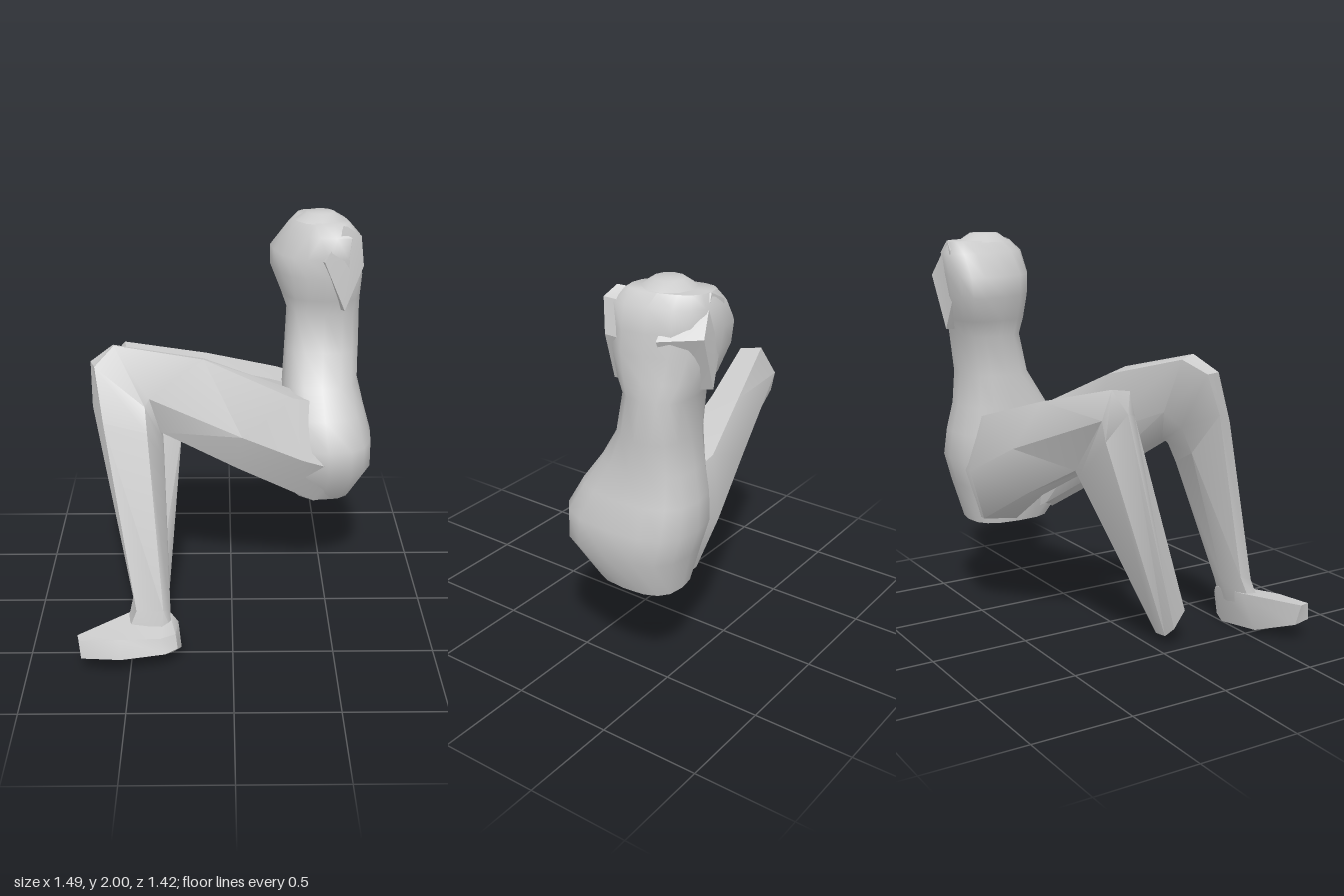
import * as THREE from 'three';
import { toCreasedNormals } from 'three/addons/utils/BufferGeometryUtils.js';

const material = new THREE.MeshStandardMaterial({ color: 0xcccccc });

// Skin a list of equally sized point rings, close both ends, face outwards
function loft(name, rings, crease = 0.85) {
  const n = rings[0].length;
  const points = rings.flat();
  const centre = ring => [0, 1, 2].map(k => ring.reduce((s, p) => s + p[k], 0) / n);
  points.push(centre(rings[0]), centre(rings[rings.length - 1]));
  const first = points.length - 2, last = points.length - 1;
  const index = [];
  for (let i = 0; i < n; i++) {
    const j = (i + 1) % n;
    for (let r = 0; r < rings.length - 1; r++) {
      const a = r * n + i, b = r * n + j;
      index.push(a, b, b + n, a, b + n, a + n);
    }
    const end = (rings.length - 1) * n;
    index.push(first, j, i, last, end + i, end + j);
  }
  // Signed volume tells whether the winding must be reversed
  const v = points.map(p => new THREE.Vector3(...p).sub(new THREE.Vector3(...points[first])));
  let volume = 0;
  for (let t = 0; t < index.length; t += 3) {
    volume += v[index[t]].dot(v[index[t + 1]].clone().cross(v[index[t + 2]]));
  }
  if (volume < 0) index.reverse();
  const geometry = new THREE.BufferGeometry();
  geometry.setAttribute('position', new THREE.Float32BufferAttribute(points.flat(), 3));
  geometry.setIndex(index);
  const mesh = new THREE.Mesh(toCreasedNormals(geometry, crease), material);
  mesh.name = name;
  return mesh;
}

// Horizontal rounded-square ring from its extents; skew slides it in x along z
function bodyRing([y, x0, x1, z0, z1, skew = 0]) {
  const ring = [], n = 16;
  const soft = t => Math.sign(t) * Math.abs(t) ** 0.75;
  for (let i = 0; i < n; i++) {
    const a = (i / n) * Math.PI * 2;
    const dz = soft(Math.sin(a)) * (z1 - z0) / 2;
    const dx = soft(Math.cos(a)) * ((x1 - x0) / 2 - Math.abs(skew) * 0.08);
    ring.push([(x0 + x1) / 2 + dx + skew * dz, y, (z0 + z1) / 2 + dz]);
  }
  return ring;
}

export function createModel() {
  const model = new THREE.Group();
  model.name = 'seatedFigure';

  // Pelvis, waist, chest and shoulders
  model.add(loft('torso', [
    [0.525, 0.32, 0.65, -0.57, -0.14],
    [0.72, 0.26, 0.74, -0.62, 0.01],
    [0.86, 0.25, 0.74, -0.66, 0.015],
    [1.0, 0.26, 0.70, -0.65, -0.06],
    [1.14, 0.27, 0.665, -0.62, -0.16],
    [1.3, 0.28, 0.67, -0.60, -0.26],
    [1.5, 0.29, 0.67, -0.62, -0.30],
    [1.58, 0.25, 0.67, -0.65, -0.27, 0.15],
    [1.7, 0.20, 0.675, -0.68, -0.25, 0.25],
    [1.8, 0.20, 0.665, -0.69, -0.245, 0.25],
    [1.91, 0.29, 0.65, -0.69, -0.25, 0.25],
    [1.965, 0.34, 0.60, -0.66, -0.31, 0.25],
  ].map(bodyRing), 0.9));

  // Low neck stub
  const neck = new THREE.Mesh(toCreasedNormals(new THREE.CylinderGeometry(0.07, 0.13, 0.04, 10), 0.7), material);
  neck.name = 'neckStub';
  neck.position.set(0.455, 1.98, -0.46);
  model.add(neck);

  // Cut shoulder ends: outline on the cut, widening into the chest
  const armCut = [[0, 0.2, -0.03], [0.07, 0.16, -0.01], [0.09, 0, -0.03], [0, -0.23, -0.01], [-0.11, 0.03, 0.01]];
  for (const [name, x, z, side] of [['leftArmStub', 0.575, -0.245, 1], ['rightArmStub', 0.44, -0.695, -1]]) {
    const outer = armCut.map(([dx, dy, dz]) => [x + side * dx, 1.765 + dy, z + side * dz]);
    const inner = outer.map(p => [x + (p[0] - x) * 1.3 - side * 0.06, p[1] - 0.02, z - side * 0.17]);
    model.add(loft(name, [inner, outer], 0.5));
  }

  // Each leg ring: top outer, outer, bottom outer, bottom inner, inner, top inner
  // Raised leg: hip, upper thigh, mid thigh, two knee rings, shin, ankle, instep
  model.add(loft('frontLeg', [
    [[0.5, 1.05, -0.2], [0.58, 0.74, -0.03], [0.6, 0.53, -0.17], [0.36, 0.56, -0.28], [0.3, 0.85, -0.32], [0.34, 1.1, -0.26]],
    [[0.31, 1.13, -0.08], [0.36, 0.84, 0.05], [0.43, 0.54, -0.1], [0.28, 0.61, -0.22], [0.22, 0.88, -0.27], [0.25, 1.16, -0.19]],
    [[-0.14, 1.37, 0.0], [0.05, 1.0, 0.12], [0.03, 0.8, 0.05], [0.0, 0.82, -0.05], [-0.05, 1.02, -0.14], [-0.14, 1.34, -0.1]],
    [[-0.57, 1.48, 0.1], [-0.4, 1.25, 0.22], [-0.35, 1.05, 0.16], [-0.35, 1.04, 0.08], [-0.48, 1.2, 0.0], [-0.58, 1.46, 0.03]],
    [[-0.66, 1.4, 0.18], [-0.42, 1.22, 0.25], [-0.34, 1.02, 0.18], [-0.34, 1.01, 0.12], [-0.54, 1.13, 0.06], [-0.685, 1.4, 0.1]],
    [[-0.62, 1.15, 0.28], [-0.41, 1.1, 0.29], [-0.335, 0.92, 0.22], [-0.335, 0.91, 0.17], [-0.54, 1.0, 0.12], [-0.675, 1.2, 0.18]],
    [[-0.47, 0.27, 0.55], [-0.34, 0.26, 0.54], [-0.31, 0.25, 0.5], [-0.31, 0.25, 0.44], [-0.4, 0.27, 0.42], [-0.49, 0.3, 0.47]],
    [[-0.51, 0.17, 0.57], [-0.35, 0.15, 0.57], [-0.3, 0.14, 0.52], [-0.31, 0.15, 0.47], [-0.4, 0.15, 0.46], [-0.52, 0.17, 0.51]],
  ]));

  // Tilted foot from toe to heel: top front, bottom front, bottom back, top back
  model.add(loft('foot', [
    [[-0.74, 0.2, 0.7], [-0.73, 0.11, 0.715], [-0.72, 0.09, 0.64], [-0.75, 0.2, 0.65]],
    [[-0.54, 0.19, 0.68], [-0.54, 0.1, 0.715], [-0.54, 0.025, 0.53], [-0.5, 0.22, 0.47]],
    [[-0.35, 0.17, 0.64], [-0.33, 0.1, 0.67], [-0.3, 0, 0.5], [-0.32, 0.21, 0.44]],
    [[-0.28, 0.17, 0.6], [-0.27, 0.1, 0.62], [-0.255, 0.03, 0.5], [-0.27, 0.16, 0.47]],
  ], 0.7));

  // Lower leg without a foot: hip, upper thigh, mid thigh, two knee rings, cut shin
  model.add(loft('backLeg', [
    [[0.46, 1.06, -0.55], [0.52, 0.8, -0.61], [0.5, 0.55, -0.54], [0.32, 0.56, -0.42], [0.3, 0.8, -0.34], [0.32, 1.1, -0.36]],
    [[0.25, 1.12, -0.57], [0.3, 0.83, -0.64], [0.34, 0.56, -0.55], [0.23, 0.57, -0.42], [0.2, 0.83, -0.33], [0.2, 1.13, -0.36]],
    [[-0.13, 1.24, -0.46], [-0.02, 1.0, -0.56], [0.0, 0.76, -0.48], [-0.02, 0.75, -0.4], [-0.05, 0.98, -0.3], [-0.13, 1.22, -0.31]],
    [[-0.55, 1.35, -0.33], [-0.58, 1.22, -0.4], [-0.27, 0.92, -0.36], [-0.26, 0.93, -0.22], [-0.4, 1.1, -0.2], [-0.53, 1.33, -0.22]],
    [[-0.64, 1.25, -0.3], [-0.58, 1.12, -0.38], [-0.27, 0.88, -0.34], [-0.26, 0.88, -0.21], [-0.42, 1.05, -0.18], [-0.6, 1.23, -0.24]],
    [[-0.47, 0.1, 0.08], [-0.42, 0.05, 0.06], [-0.34, 0.04, 0.06], [-0.33, 0.1, 0.14], [-0.38, 0.2, 0.17], [-0.46, 0.18, 0.15]],
  ]));

  return model;
}
